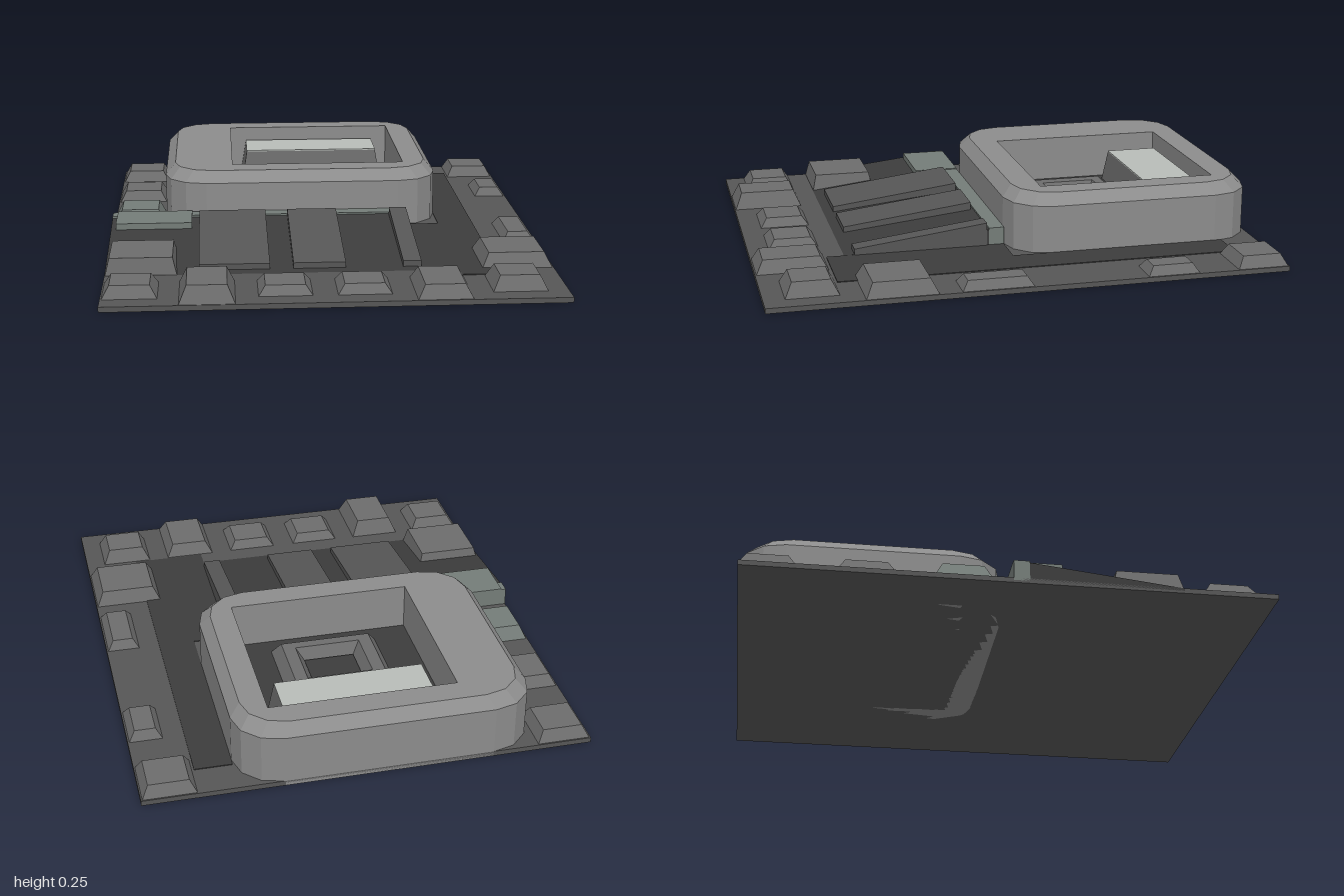
import * as THREE from 'three';

const mat = (color) => new THREE.MeshStandardMaterial({ color, flatShading: true });

export function createModel() {
  const model = new THREE.Group();
  const grey = mat(0x6c6c6c), rim = mat(0x8c8c8c), dark = mat(0x3c3c3c), panel = mat(0x565656);
  const green = mat(0x747c78), pale = mat(0xb8bcb8);

  const add = (name, geometry, material) => {
    const mesh = new THREE.Mesh(geometry, material);
    mesh.name = name;
    model.add(mesh);
    return mesh;
  };

  // Box from its bounds; the top is drawn in by the inset to make a frustum
  const block = (name, x0, x1, z0, z1, y0, y1, inset, material) => {
    const w = x1 - x0, d = z1 - z0;
    const g = new THREE.BoxGeometry(w, y1 - y0, d);
    const p = g.attributes.position;
    for (let i = 0; i < p.count; i++) {
      if (p.getY(i) > 0) {
        p.setX(i, p.getX(i) * (1 - 2 * inset / w));
        p.setZ(i, p.getZ(i) * (1 - 2 * inset / d));
      }
    }
    g.translate((x0 + x1) / 2, (y0 + y1) / 2, (z0 + z1) / 2);
    g.computeVertexNormals();
    return add(name, g, material);
  };

  // Side profile of [z, y] points swept along x
  const prism = (name, profile, x0, x1, material) => {
    const shape = new THREE.Shape(profile.map(([z, y]) => new THREE.Vector2(-z, y)));
    const g = new THREE.ExtrudeGeometry(shape, { depth: x1 - x0, bevelEnabled: false });
    g.rotateY(Math.PI / 2).translate(x0, 0, 0);
    return add(name, g, material);
  };

  // Base plate and the dark channel along it
  block('basePlate', -0.855, 0.855, -1, 1, 0, 0.02, 0, panel);
  block('channelFront', 0.345, 0.64, 0, 0.71, 0.01, 0.023, 0, dark);
  block('channelSide', 0.495, 0.64, -0.86, 0, 0.01, 0.023, 0, dark);

  // Raised housing: rounded outline, square pocket, chamfered outer top edge
  const cx = -0.0725, cz = -0.5, hw = 0.5675, hd = 0.5, r = 0.17, top = 0.255;
  const outline = new THREE.Shape();
  const corners = [[1, 1, 0], [-1, 1, 1], [-1, -1, 2], [1, -1, 3]];
  const pts = [];
  for (const [sx, sz, q] of corners) {
    for (let i = 0; i <= 3; i++) {
      const a = (q + i / 3) * Math.PI / 2;
      pts.push(new THREE.Vector2(
        cx + sx * (hw - r) + r * Math.cos(a), -cz + sz * (hd - r) + r * Math.sin(a)));
    }
  }
  outline.setFromPoints(pts);
  outline.holes.push(new THREE.Path([[-0.36, 0.145], [-0.36, 0.86], [0.36, 0.86], [0.36, 0.145]]
    .map(([x, y]) => new THREE.Vector2(x, y))));
  const housing = new THREE.ExtrudeGeometry(outline, { depth: top, steps: 2, bevelEnabled: false });
  housing.rotateX(-Math.PI / 2);
  const p = housing.attributes.position;
  for (let i = 0; i < p.count; i++) {
    const x = p.getX(i), y = p.getY(i), z = p.getZ(i);
    const onPocket = Math.abs(x) < 0.361 && z > -0.861 && z < -0.144;
    if (y > 0.01 && y < top - 0.01) p.setY(i, 0.21);
    else if (y > 0.2 && !onPocket) {
      p.setX(i, cx + (x - cx) * (1 - 0.04 / hw));
      p.setZ(i, cz + (z - cz) * (1 - 0.04 / hd));
    }
  }
  housing.computeVertexNormals();
  add('housing', housing, rim);

  // Pocket floor, pale bar and small square frame
  block('pocketFloor', -0.36, 0.36, -0.86, -0.145, 0.01, 0.07, 0, dark);
  block('barBody', -0.31, 0.31, -0.86, -0.61, 0.07, 0.195, 0.02, grey);
  block('barTop', -0.29, 0.29, -0.84, -0.63, 0.19, 0.2, 0, pale);
  const ring = (name, levels, material) => {
    // Each level is [half width, half depth, y]; joined by four sides
    const pos = [], idx = [];
    levels.forEach(([w, d, y]) =>
      [[-1, 1], [1, 1], [1, -1], [-1, -1]].forEach(([sx, sz]) => pos.push(sx * w, y, -0.4 + sz * d)));
    for (let l = 0; l < levels.length - 1; l++) {
      for (let k = 0; k < 4; k++) {
        const a = l * 4 + k, b = l * 4 + (k + 1) % 4;
        idx.push(a, b, b + 4, a, b + 4, a + 4);
      }
    }
    const g = new THREE.BufferGeometry();
    g.setAttribute('position', new THREE.Float32BufferAttribute(pos, 3));
    g.setIndex(idx);
    g.computeVertexNormals();
    add(name, g, material);
  };
  ring('squareFrame', [[0.215, 0.18, 0.07], [0.18, 0.15, 0.12], [0.13, 0.11, 0.12], [0.1, 0.08, 0.075]], grey);

  // Sloping ramp with raised slats and a ledge behind it
  prism('ramp', [[0.64, 0.01], [0.64, 0.02], [0.06, 0.085], [0.06, 0.01]], -0.855, 0.345, dark);
  for (const [x0, x1] of [[-0.5, -0.23], [-0.14, 0.06], [0.28, 0.35]]) {
    prism('rampSlat', [[0.6, 0.01], [0.6, 0.047], [0.07, 0.115], [0.07, 0.01]], x0, x1, panel);
  }
  block('rampLedge', -0.855, 0.345, 0, 0.06, 0.01, 0.092, 0, green);
  block('ledgeBlock', -0.835, -0.53, 0, 0.185, 0.01, 0.096, 0, green);

  // Larger blocks on both sides of the ramp
  block('leftLargeBlock', 0.575, 0.855, 0.36, 0.64, 0.01, 0.075, 0.033, grey);
  block('rightLargeBlock', -0.855, -0.58, 0.37, 0.64, 0.01, 0.085, 0.018, grey);

  // Front row: [start x, end z, height]
  for (const [x, z1, h] of [[-0.855, 0.925, 0.065], [-0.575, 1, 0.085], [-0.29, 0.925, 0.055],
    [0, 0.925, 0.055], [0.285, 1, 0.07], [0.57, 0.925, 0.075]]) {
    block('frontBlock', x, x + 0.213, 0.715, z1, 0.01, h, 0.033, grey);
  }

  // Blocks along the two sides: [x0, x1, z0, z1, height, material]
  for (const [x0, x1, z0, z1, h, m] of [
    [-0.855, -0.643, -1, -0.79, 0.065, grey], [-0.855, -0.643, -0.645, -0.43, 0.065, grey],
    [-0.855, -0.643, -0.29, -0.075, 0.075, green], [0.643, 0.855, -1, -0.79, 0.065, grey],
    [0.715, 0.855, -0.645, -0.43, 0.055, grey], [0.715, 0.855, 0, 0.285, 0.055, grey]]) {
    block('sideBlock', x0, x1, z0, z1, 0.01, h, 0.03, m);
  }
  return model;
}
